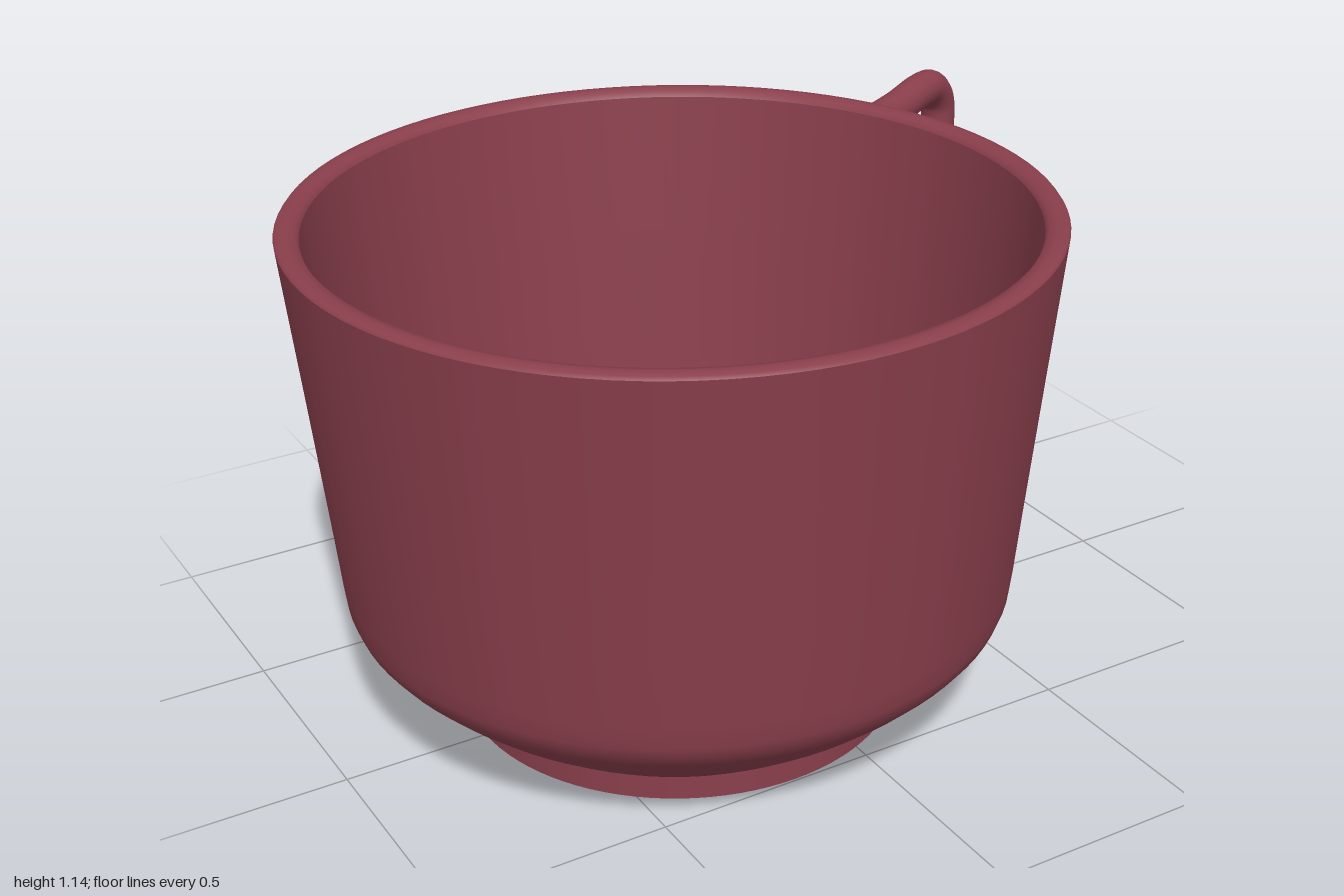
import * as THREE from 'three';

const CUP_X = -0.178; // cup axis, shifted so cup plus handle is centred
const HANDLE_ANGLE = THREE.MathUtils.degToRad(29.3);

const vectors = (pts) => pts.map(([x, y]) => new THREE.Vector2(x, y));

export function createModel() {
  const model = new THREE.Group();
  model.name = 'cup';
  const glaze = new THREE.MeshStandardMaterial({ color: 0x8a3f4c });

  const add = (name, geometry, parent) => {
    const mesh = new THREE.Mesh(geometry, glaze);
    mesh.name = name;
    parent.add(mesh);
    return mesh;
  };

  const cup = new THREE.Group();
  cup.name = 'cupAssembly';
  cup.position.x = CUP_X;
  model.add(cup);

  // Each smooth section is its own lathe, so the edges between them stay sharp
  const lathe = (name, pts) => add(name, new THREE.LatheGeometry(vectors(pts), 96), cup);

  lathe('footUnderside', [[0, 0], [0.495, 0]]);
  lathe('footRing', [[0.495, 0], [0.495, 0.055]]);
  lathe('outerWall', [
    [0.495, 0.055], [0.55, 0.095], [0.61, 0.141], [0.66, 0.185], [0.705, 0.23],
    [0.728, 0.26], [0.739, 0.29], [0.745, 0.34], [0.76, 0.5], [0.791, 0.82], [0.822, 1.132],
  ]);
  lathe('rim', [[0.822, 1.132], [0.817, 1.139], [0.797, 1.142], [0.777, 1.137], [0.77, 1.125]]);
  lathe('innerWall', [
    [0.77, 1.125], [0.738, 0.8], [0.709, 0.5], [0.694, 0.35], [0.686, 0.3],
    [0.668, 0.265], [0.62, 0.22], [0.56, 0.17], [0.5, 0.125], [0.445, 0.09],
  ]);
  lathe('innerFloor', [[0.445, 0.09], [0, 0.09]]);

  // Handle drawn as distance from the axis and height, then turned toward the back
  const handle = new THREE.Group();
  handle.name = 'handle';
  handle.rotation.y = HANDLE_ANGLE;
  cup.add(handle);

  const path = new THREE.CatmullRomCurve3([
    [0.79, 1.067], [0.86, 1.056], [0.95, 1.047], [1.06, 1.046], [1.18, 1.053],
    [1.25, 1.045], [1.295, 1.0], [1.3, 0.93], [1.263, 0.8], [1.17, 0.6],
    [1.09, 0.49], [0.99, 0.41], [0.88, 0.363], [0.755, 0.342],
  ].map(([r, y]) => new THREE.Vector3(r, y, 0)));
  const radius = 0.043;
  add('handleLoop', new THREE.TubeGeometry(path, 120, radius, 20), handle);

  // Rounded ends set into the wall
  for (const [name, t] of [['handleTopEnd', 0], ['handleBottomEnd', 1]]) {
    const end = add(name, new THREE.SphereGeometry(radius, 20, 12), handle);
    end.position.copy(path.getPoint(t));
    end.scale.x = 0.4;
  }

  return model;
}
